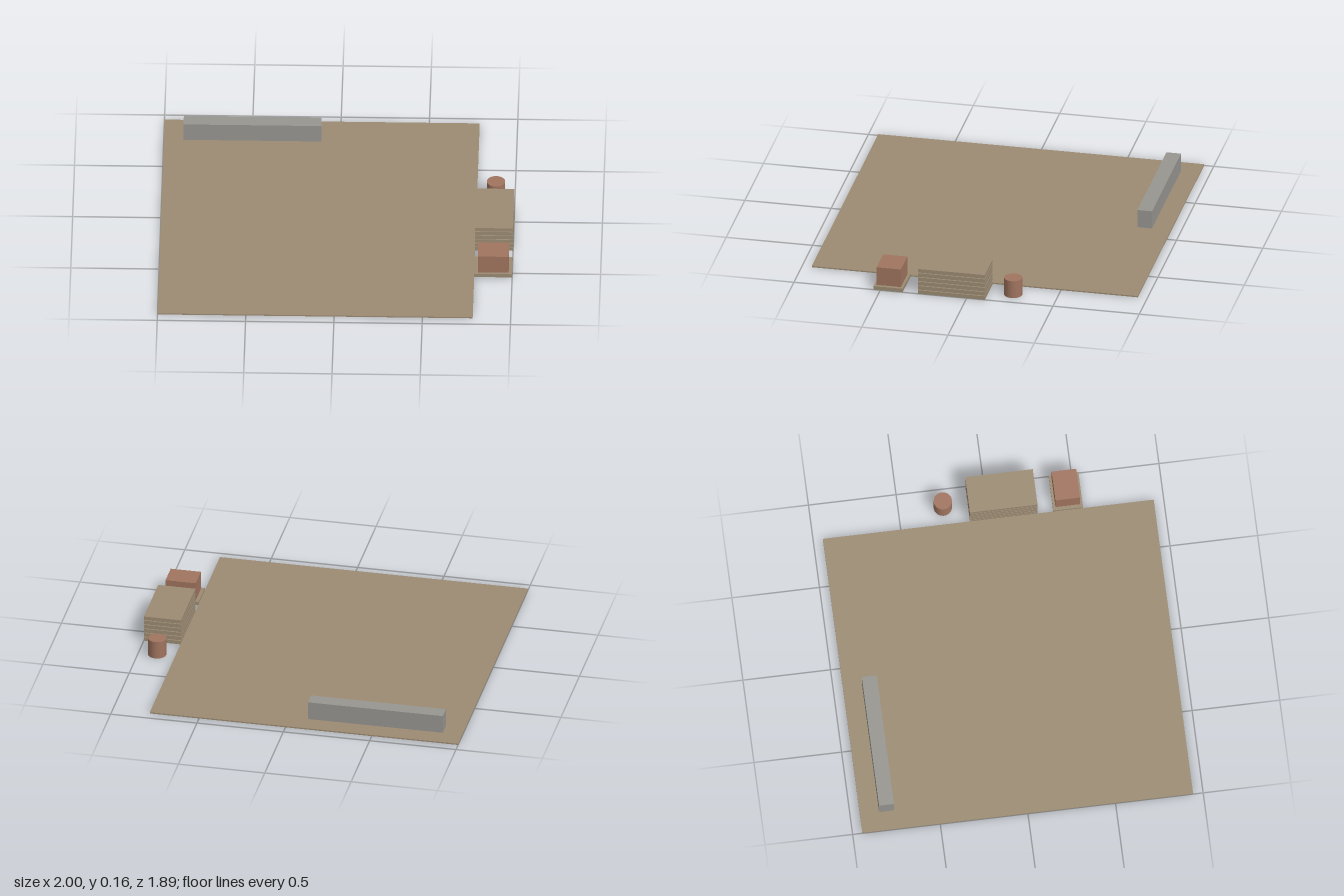
import * as THREE from 'three';

export function createModel() {
  const model = new THREE.Group();
  model.name = 'yard';
  const tan = new THREE.MeshStandardMaterial({ name: 'timber tan', color: 0x9c8b73 });
  const grey = new THREE.MeshStandardMaterial({ name: 'concrete grey', color: 0x979590 });
  const brick = new THREE.MeshStandardMaterial({ name: 'rust brown', color: 0xa0745f });

  // Box given by its minimum and maximum corners
  function box(name, material, [x0, y0, z0], [x1, y1, z1], parent = model) {
    const mesh = new THREE.Mesh(new THREE.BoxGeometry(x1 - x0, y1 - y0, z1 - z0), material);
    mesh.position.set((x0 + x1) / 2, (y0 + y1) / 2, (z0 + z1) / 2);
    mesh.name = name;
    parent.add(mesh);
    return mesh;
  }

  // Thin ground slab and the low wall near its back edge
  box('groundSlab', tan, [-1, 0.0005, -0.945], [0.785, 0.008, 0.943]);
  box('lowWall', grey, [-0.888, 0, -0.835], [-0.107, 0.115, -0.75]);

  // Stack of boards with narrow gaps
  const stack = new THREE.Group();
  stack.name = 'boardStack';
  model.add(stack);
  const pitch = 0.0266, thickness = 0.022;
  for (let i = 0; i < 6; i++) {
    const y = i * pitch;
    box('board' + (i + 1), tan, [0.785, y, -0.105], [1, y + thickness, 0.28], stack);
  }

  // Crate on its pallet
  box('pallet', tan, [0.785, 0, 0.37], [1, 0.022, 0.54]);
  box('crate', brick, [0.805, 0.022, 0.385], [0.98, 0.132, 0.525]);

  // Upright drum
  const drum = new THREE.Mesh(new THREE.CylinderGeometry(0.052, 0.052, 0.105, 20), brick);
  drum.position.set(0.892, 0.0525, -0.247);
  drum.name = 'drum';
  model.add(drum);

  return model;
}
